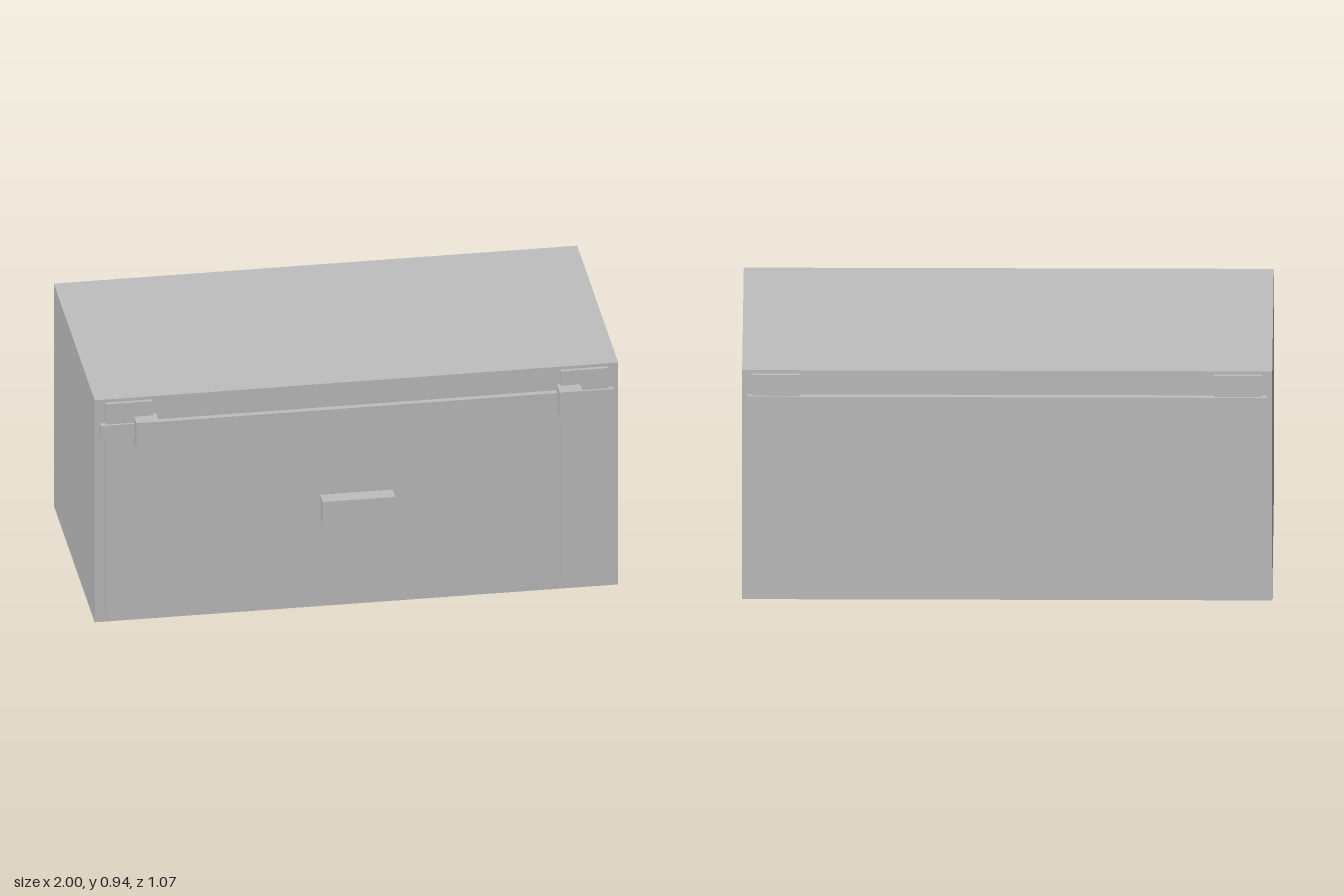
import * as THREE from 'three';

export function createModel() {
  const group = new THREE.Group();
  group.name = 'chest';
  const grey = new THREE.MeshStandardMaterial({ color: 0xbfbfbf });
  grey.name = 'plain grey';

  // Box given by its limits on each axis
  function box(name, [x0, x1], [y0, y1], [z0, z1]) {
    const mesh = new THREE.Mesh(new THREE.BoxGeometry(x1 - x0, y1 - y0, z1 - z0), grey);
    mesh.position.set((x0 + x1) / 2, (y0 + y1) / 2, (z0 + z1) / 2);
    mesh.name = name;
    group.add(mesh);
  }

  const front = 0.468, back = -0.514;
  box('body', [-1, 1], [0, 0.94], [back, front]);

  // Horizontal band running through the body, proud at front and back
  box('band', [-0.98, 0.98], [0.783, 0.841], [-0.537, 0.491]);

  // Upright straps front and back, with a latch over each front strap
  for (const [side, x0, x1, l0, l1] of [
    ['left', 0.78, 0.96, 0.765, 0.852],
    ['right', -0.96, -0.78, -0.852, -0.765],
  ]) {
    box(side + 'Strap', [x0, x1], [0.036, 0.927], [-0.528, 0.482]);
    box(side + 'Latch', [l0, l1], [0.758, 0.866], [front - 0.02, 0.537]);
  }

  // Front handle block
  box('handle', [-0.138, 0.138], [0.372, 0.471], [front - 0.02, 0.529]);

  return group;
}
